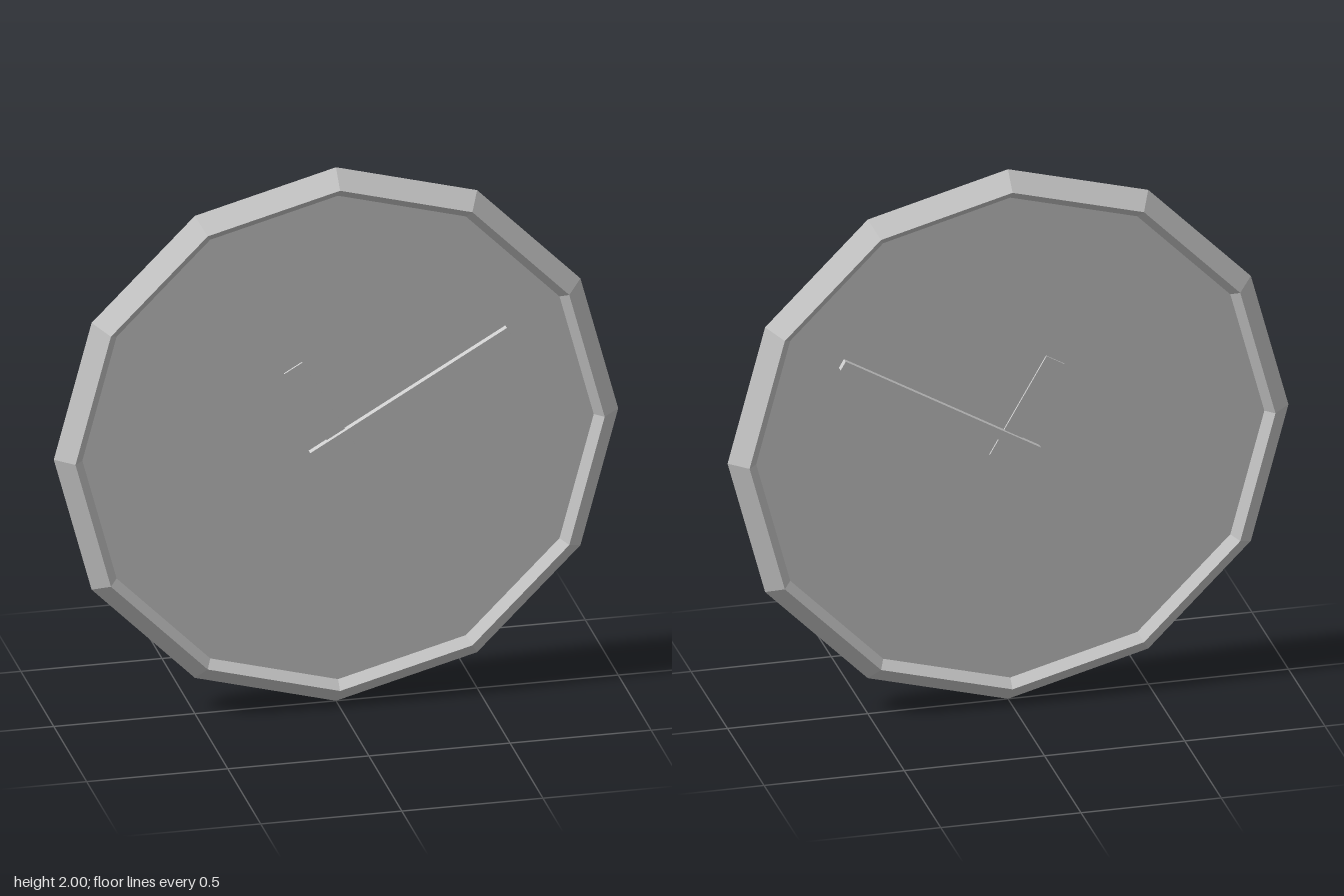
import * as THREE from 'three';

export function createModel() {
  const group = new THREE.Group();
  const material = new THREE.MeshStandardMaterial({ color: 0xcccccc, flatShading: true });

  const add = (name, geometry) => {
    const mesh = new THREE.Mesh(geometry, material);
    mesh.name = name;
    mesh.position.y = 1;
    group.add(mesh);
  };

  // Twelve-sided rim with a diamond cross-section
  add('rim', new THREE.TorusGeometry(0.9375, 0.0625, 4, 12));

  // Flat dial, recessed on both sides
  add('dial', new THREE.CylinderGeometry(0.92, 0.92, 0.062, 12).rotateX(Math.PI / 2));

  // Bars passing through the dial so that they show front and back
  const addHand = (name, from, to, width, depth, degrees) => {
    const bar = new THREE.BoxGeometry(to - from, width, depth);
    bar.translate((from + to) / 2, 0, 0);
    bar.rotateZ(THREE.MathUtils.degToRad(degrees));
    add(name, bar);
  };
  addHand('minuteHand', -0.11, 0.695, 0.036, 0.11, 30);
  addHand('hourHand', -0.085, 0.32, 0.075, 0.076, 120);

  return group;
}
